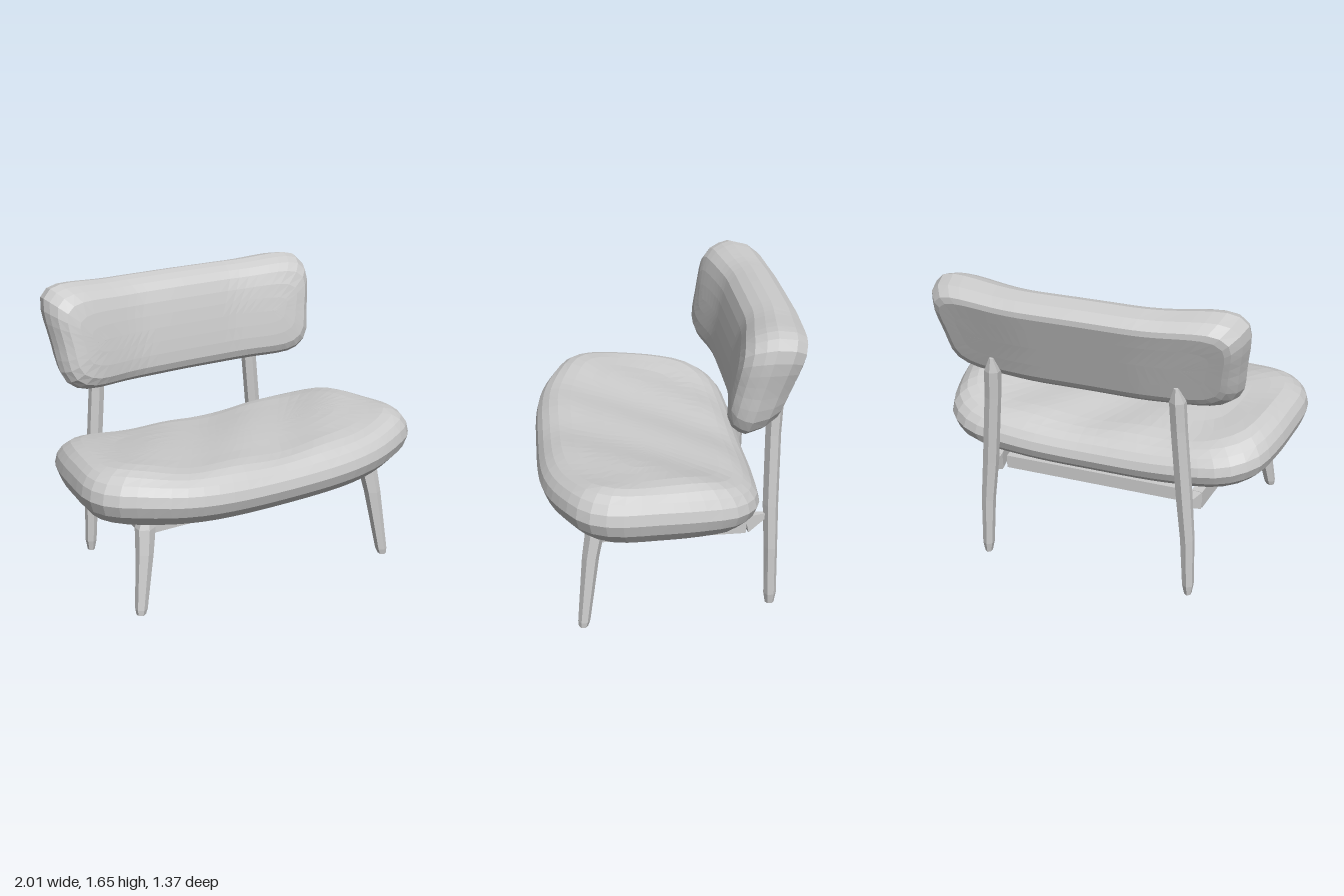
import * as THREE from 'three';

const material = new THREE.MeshStandardMaterial({ color: 0xcccccc, flatShading: true });

function add(group, name, geometry) {
  const mesh = new THREE.Mesh(geometry, material);
  mesh.name = name;
  group.add(mesh);
  return mesh;
}

// Cushion: a mirrored outline swept through rings of [inset, depth -1..1],
// each point placed by map(u, v, depth). An inset of hv closes the face on its middle line.
function cushion(half, hu, hv, rings, map) {
  const mirrored = half.slice(1, -1).reverse().map(([u, v]) => [-u, v]);
  const points = [...half, ...mirrored].map(([u, v]) => new THREE.Vector3(u, v, 0));
  const n = 64;
  const outline = new THREE.CatmullRomCurve3(points, true).getSpacedPoints(n).slice(0, n);
  const position = [], index = [];
  rings.forEach(([inset, k], r) => outline.forEach((p, i) => {
    position.push(...map(p.x * (1 - inset / hu), p.y * (1 - inset / hv), k));
    if (r === 0) return;
    const j = (i + 1) % n, a = (r - 1) * n, b = r * n;
    index.push(a + i, a + j, b + j, a + i, b + j, b + i);
  }));
  const geometry = new THREE.BufferGeometry();
  geometry.setAttribute('position', new THREE.Float32BufferAttribute(position, 3));
  geometry.setIndex(index);
  geometry.computeVertexNormals();
  return geometry;
}

// Tapered leg: rows of [x, y, z, half width, half depth] from the top down.
function leg(rows, sides = 6) {
  const geometry = new THREE.CylinderGeometry(1, 1, 1, sides, rows.length - 1);
  const p = geometry.attributes.position;
  for (let i = 0; i < p.count; i++) {
    const [x, y, z, w, d] = rows[Math.round((0.5 - p.getY(i)) * (rows.length - 1))];
    p.setXYZ(i, x + p.getX(i) * w, y, z + p.getZ(i) * d);
  }
  geometry.computeVertexNormals();
  return geometry;
}

// Straight rail between two points, its far end scaled by taper
function rail(group, name, from, to, width, height, taper = 1) {
  const a = new THREE.Vector3(...from), b = new THREE.Vector3(...to);
  const geometry = new THREE.BoxGeometry(width, height, a.distanceTo(b));
  const p = geometry.attributes.position;
  for (let i = 0; i < p.count; i++) {
    if (p.getZ(i) > 0) p.setXY(i, p.getX(i) * taper, p.getY(i) * taper);
  }
  const mesh = add(group, name, geometry);
  mesh.position.copy(a).lerp(b, 0.5);
  mesh.lookAt(b);
}

export function createModel() {
  const chair = new THREE.Group();
  chair.name = 'loungeChair';

  // Seat: dished across, falling to the back, with soft diagonal folds
  const seatOutline = [[0, -0.58], [0.5, -0.56], [0.75, -0.485], [0.94, -0.37], [1, -0.24],
    [0.98, 0.03], [0.94, 0.26], [0.88, 0.43], [0.74, 0.54], [0.45, 0.575], [0, 0.575]];
  const seatRings = [[0.575, -0.9], [0.3, -0.9], [0.14, -0.9], [0.12, -1], [0.07, -0.93],
    [0.02, -0.5], [0, -0.05], [0.012, 0.35], [0.04, 0.65], [0.08, 0.86], [0.13, 0.98],
    [0.2, 1.02], [0.3, 1], [0.38, 1], [0.46, 1], [0.52, 1], [0.575, 1]];
  add(chair, 'seatCushion', cushion(seatOutline, 1, 0.575, seatRings, (x, v, k) => {
    const z = 0.105 - v;
    const side = Math.min(1, Math.abs(x) / 0.85) ** 2;
    const back = Math.max(0, (0.4 - z) / 0.87);
    const fold = 0.008 * Math.sin(11 * (x + 0.75 * z)) * Math.max(0, k) ** 4;
    const top = 0.862 + 0.06 * side - 0.09 * back ** 2 + fold;
    const bottom = 0.61 + 0.03 * side - 0.055 * back;
    return [x, THREE.MathUtils.lerp(bottom, top, (k + 1) / 2), z];
  }));

  // Backrest: leaning back, thicker at the top, ends bent forward, most at the front face
  const backOutline = [[0, -0.285], [0.4, -0.285], [0.7, -0.265], [0.785, -0.2], [0.82, 0],
    [0.84, 0.18], [0.82, 0.25], [0.75, 0.287], [0.4, 0.275], [0, 0.275]];
  const backRings = [[0.285, -1], [0.17, -1], [0.09, -1], [0.06, -0.92], [0.02, -0.5], [0, 0.1],
    [0.012, 0.4], [0.035, 0.7], [0.075, 0.91], [0.14, 0.99], [0.21, 1.02], [0.285, 1.03]];
  add(chair, 'backrest', cushion(backOutline, 0.84, 0.285, backRings, (x, v, k) => {
    const bend = (0.058 + 0.02 * k) * THREE.MathUtils.smoothstep(Math.abs(x), 0.25, 0.8);
    return [x, 1.36 + v, -0.495 - 0.27 * v + bend + k * (0.128 + 0.08 * v)];
  }));

  for (const s of [1, -1]) {
    const side = s > 0 ? 'left' : 'right';
    const foot = s > 0 ? 0.06 : 0.13;
    // Back leg runs from the floor to the rear of the backrest
    add(chair, side + 'BackLeg', leg([
      [s * 0.5, 1.24, -0.57, 0.012, 0.012], [s * 0.505, 1.16, -0.55, 0.045, 0.045],
      [s * 0.515, 1, -0.545, 0.045, 0.042], [s * 0.55, 0.6, -0.54, 0.045, 0.042],
      [s * 0.575, 0.35, -0.545, 0.04, 0.037], [s * 0.588, 0.06, -0.55, 0.032, 0.035],
      [s * 0.59, 0, -0.55, 0.02, 0.025]]));
    // Front leg splays outward and forward
    add(chair, side + 'FrontLeg', leg([
      [s * 0.705, 0.65, 0.4, 0.03, 0.03], [s * 0.715, 0.58, 0.405, 0.055, 0.05],
      [s * 0.735, 0.45, 0.43, 0.048, 0.045], [s * 0.785, foot + 0.03, 0.475, 0.033, 0.032],
      [s * 0.79, foot, 0.48, 0.025, 0.025]]));
    rail(chair, side + 'SideRail', [s * 0.69, 0.57, 0.37], [s * 0.58, 0.51, -0.4], 0.06, 0.1);
    // Pointed tenon joining the side rail to the back leg
    rail(chair, side + 'RailTenon', [s * 0.58, 0.51, -0.4], [s * 0.56, 0.535, -0.51], 0.06, 0.1, 0.3);
  }
  rail(chair, 'frontRail', [-0.68, 0.57, 0.38], [0.68, 0.57, 0.38], 0.05, 0.075);
  rail(chair, 'backRail', [-0.53, 0.505, -0.36], [0.53, 0.505, -0.36], 0.05, 0.075);
  return chair;
}
